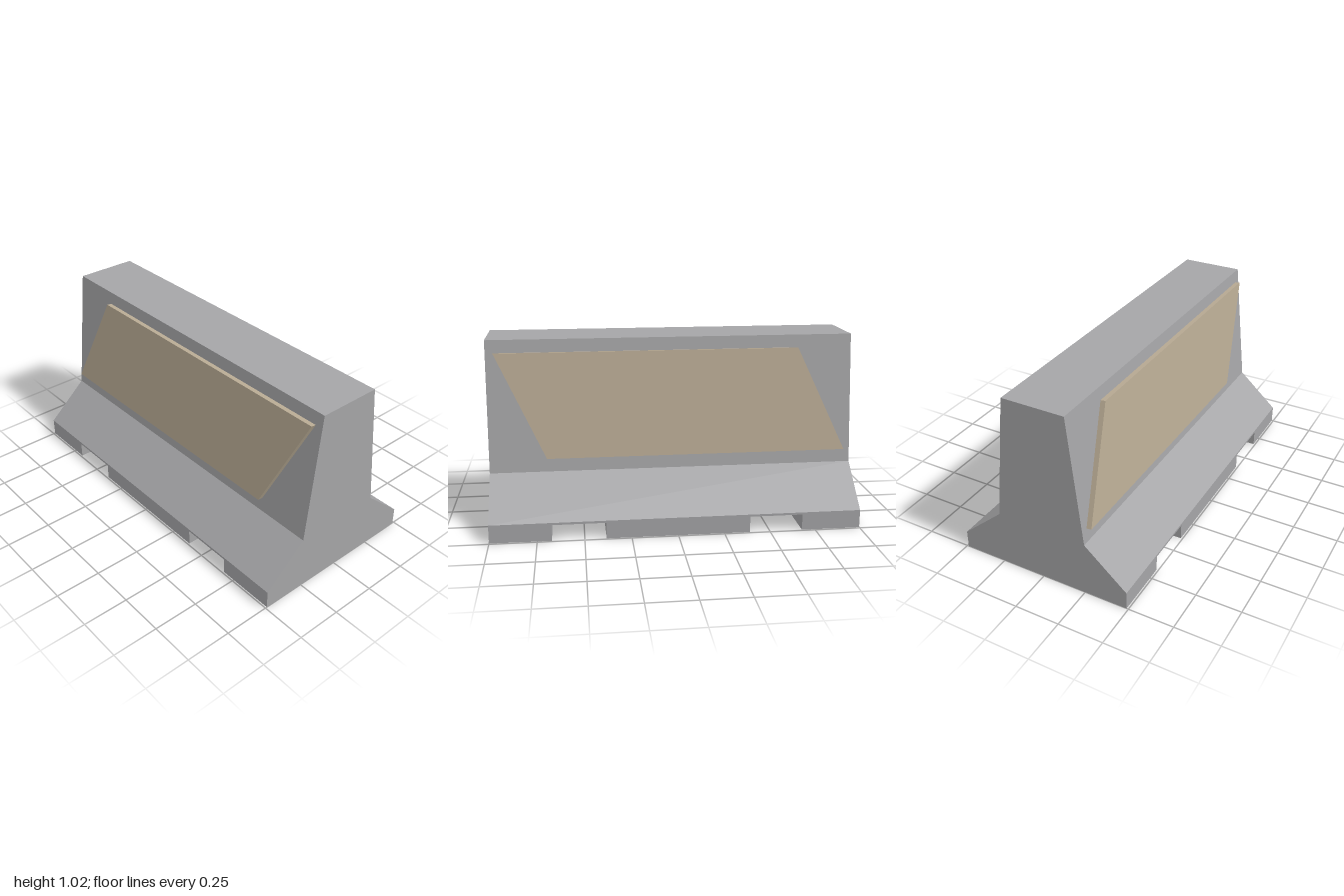
import * as THREE from 'three';

const concrete = new THREE.MeshStandardMaterial({ name: 'concreteGrey', color: 0xa5a5a7 });
const tan = new THREE.MeshStandardMaterial({ name: 'panelTan', color: 0xb9ab94 });

const BASE_H = 0.1, HALF_D = 0.49;
const WAIST = [0.255, 0.308], TOP = [0.175, 1.022]; // [z, y] on the front face

// Straight prism from a 2D outline
function prism(points, depth) {
  const shape = new THREE.Shape(points.map(([x, y]) => new THREE.Vector2(x, y)));
  return new THREE.ExtrudeGeometry(shape, { depth, bevelEnabled: false });
}

function addMesh(group, name, geometry, material) {
  const mesh = new THREE.Mesh(geometry, material);
  mesh.name = name;
  group.add(mesh);
  return mesh;
}

export function createModel() {
  const group = new THREE.Group();
  group.name = 'concreteBarrier';

  // Base slab with two forklift channels running front to back
  const n = 0.088;
  const base = prism([
    [-1, 0], [-0.678, 0], [-0.678, n], [-0.39, n], [-0.39, 0],
    [0.385, 0], [0.385, n], [0.673, n], [0.673, 0], [1, 0],
    [1, BASE_H], [-1, BASE_H],
  ], HALF_D * 2);
  base.translate(0, 0, -HALF_D);
  addMesh(group, 'base', base, concrete);

  // Sloped foot and tapering wall, extruded along the length
  const half = [[HALF_D, BASE_H], WAIST, TOP];
  const outline = [...half, ...half.map(([z, y]) => [-z, y]).reverse()];
  const wall = prism(outline, 2);
  wall.translate(0, 0, -1);
  wall.rotateY(Math.PI / 2);
  addMesh(group, 'wall', wall, concrete);

  // Slanted panels lying on both wall faces; both lean towards +x
  const tilt = Math.atan2(WAIST[0] - TOP[0], TOP[1] - WAIST[1]);
  const height = 0.574;
  for (const side of [1, -1]) {
    const corners = [[-0.96, 0], [0.69, 0], [0.957, height], [-0.695, height]];
    const panel = prism(corners.map(([x, y]) => [x * side, y]), 0.028);
    panel.rotateX(-tilt);
    panel.translate(0, 0.382, 0.2467);
    if (side < 0) panel.rotateY(Math.PI);
    addMesh(group, side > 0 ? 'frontPanel' : 'backPanel', panel, tan);
  }
  return group;
}
